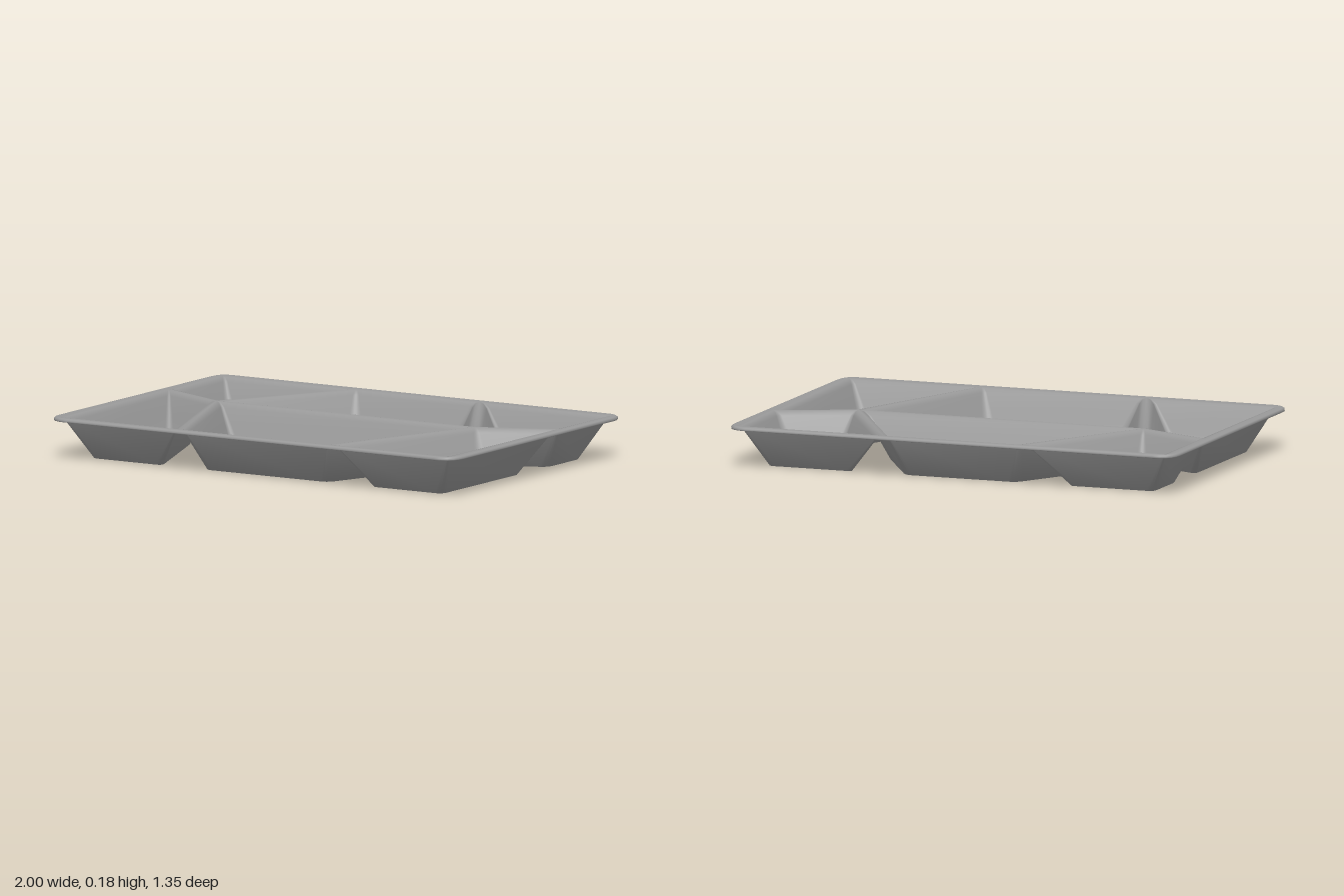
import * as THREE from 'three';
import { mergeVertices } from 'three/addons/utils/BufferGeometryUtils.js';

const material = new THREE.MeshStandardMaterial({ color: 0x999999, side: THREE.DoubleSide });
const CORNER_STEPS = 5;

// Plan polygons are [x, z] lists; this one orders them so lofted faces point up.
function oriented(poly) {
  let area = 0;
  poly.forEach(([x, z], i) => {
    const [nx, nz] = poly[(i + 1) % poly.length];
    area += x * nz - nx * z;
  });
  return area > 0 ? poly : [...poly].reverse();
}

// Polygon moved inward by d, corners softened over length r, at height y.
function ring(poly, [d, y, r]) {
  const pts = poly.map(([x, z]) => new THREE.Vector2(x, z));
  const n = pts.length;
  const dirs = pts.map((p, i) => pts[(i + 1) % n].clone().sub(p).normalize());
  const out = [];
  pts.forEach((p, i) => {
    const a = dirs[(i + n - 1) % n], b = dirs[i];
    const k = d / (1 + a.dot(b));
    const c = new THREE.Vector2(p.x - (a.y + b.y) * k, p.y + (a.x + b.x) * k);
    const curve = new THREE.QuadraticBezierCurve(
      c.clone().addScaledVector(a, -r), c, c.clone().addScaledVector(b, r));
    for (const q of curve.getPoints(CORNER_STEPS)) out.push([q.x, y, q.y]);
  });
  return out;
}

// Skin through the rings of a section, from outermost to innermost, with an optional flat floor.
function loft(poly, section, floor) {
  const rings = section.map((step) => ring(poly, step));
  const n = rings[0].length, index = [];
  const pos = rings.flat(2);
  for (let j = 0; j < rings.length - 1; j++) {
    for (let i = 0; i < n; i++) {
      const a = j * n + i, b = j * n + (i + 1) % n;
      index.push(a, a + n, b, b, a + n, b + n);
    }
  }
  if (floor) {
    const last = rings[rings.length - 1];
    const sum = last.reduce((s, p) => [s[0] + p[0], s[1] + p[2]], [0, 0]);
    pos.push(sum[0] / n, last[0][1], sum[1] / n);
    const start = (rings.length - 1) * n, centre = rings.length * n;
    for (let i = 0; i < n; i++) index.push(start + i, centre, start + (i + 1) % n);
  }
  const geo = new THREE.BufferGeometry();
  geo.setAttribute('position', new THREE.Float32BufferAttribute(pos, 3));
  geo.setIndex(index);
  const merged = mergeVertices(geo, 1e-5);
  merged.computeVertexNormals();
  return merged;
}

export function createModel() {
  const tray = new THREE.Group();
  tray.name = 'compartmentTray';
  const add = (name, geometry) => {
    const mesh = new THREE.Mesh(geometry, material);
    mesh.name = name;
    tray.add(mesh);
  };

  // Ridge lines: outer border, junction and where each divider meets the border
  const X = 0.965, Z = 0.638;
  const J = [0.637, -0.075], back = [0.305, -Z], front = [0.37, Z], side = [X, -0.22];
  const mirror = (poly) => poly.map(([x, z]) => [-x, z]);

  // Wall sections: inset, height, corner softness
  const inside = [
    [0, 0.178, 0], [0.016, 0.175, 0.008], [0.03, 0.159, 0.015], [0.062, 0.091, 0.025],
    [0.097, 0.018, 0.034], [0.106, 0.008, 0.034], [0.12, 0.004, 0.034],
  ];
  const underside = [[0, 0.178, 0], [0.016, 0.168, 0.01], [0.1, 0, 0.034]];
  const compartment = (name, poly) => {
    const p = oriented(poly);
    add(name, loft(p, inside, true));
    add(name + 'Underside', loft(p, underside, true));
  };

  // Two centre compartments
  compartment('frontCentreCompartment', [J, front, ...mirror([front, J])]);
  compartment('backCentreCompartment', [J, back, ...mirror([back, J])]);

  // Side compartments, mirrored
  const frontSide = [J, side, [X, Z], front];
  const backSide = [J, back, [X, -Z], side];
  compartment('frontLeftCompartment', frontSide);
  compartment('frontRightCompartment', mirror(frontSide));
  compartment('backLeftCompartment', backSide);
  compartment('backRightCompartment', mirror(backSide));

  // Rim with a rounded, turned-down lip
  const border = oriented([[X, Z], [-X, Z], [-X, -Z], [X, -Z]]);
  const lip = [
    [-0.029, 0.163, 0.085], [-0.034, 0.164, 0.09], [-0.035, 0.168, 0.09], [-0.034, 0.174, 0.09],
    [-0.029, 0.178, 0.085], [-0.02, 0.18, 0.06], [0, 0.178, 0],
  ];
  add('rim', loft(border, lip, false));

  return tray;
}
